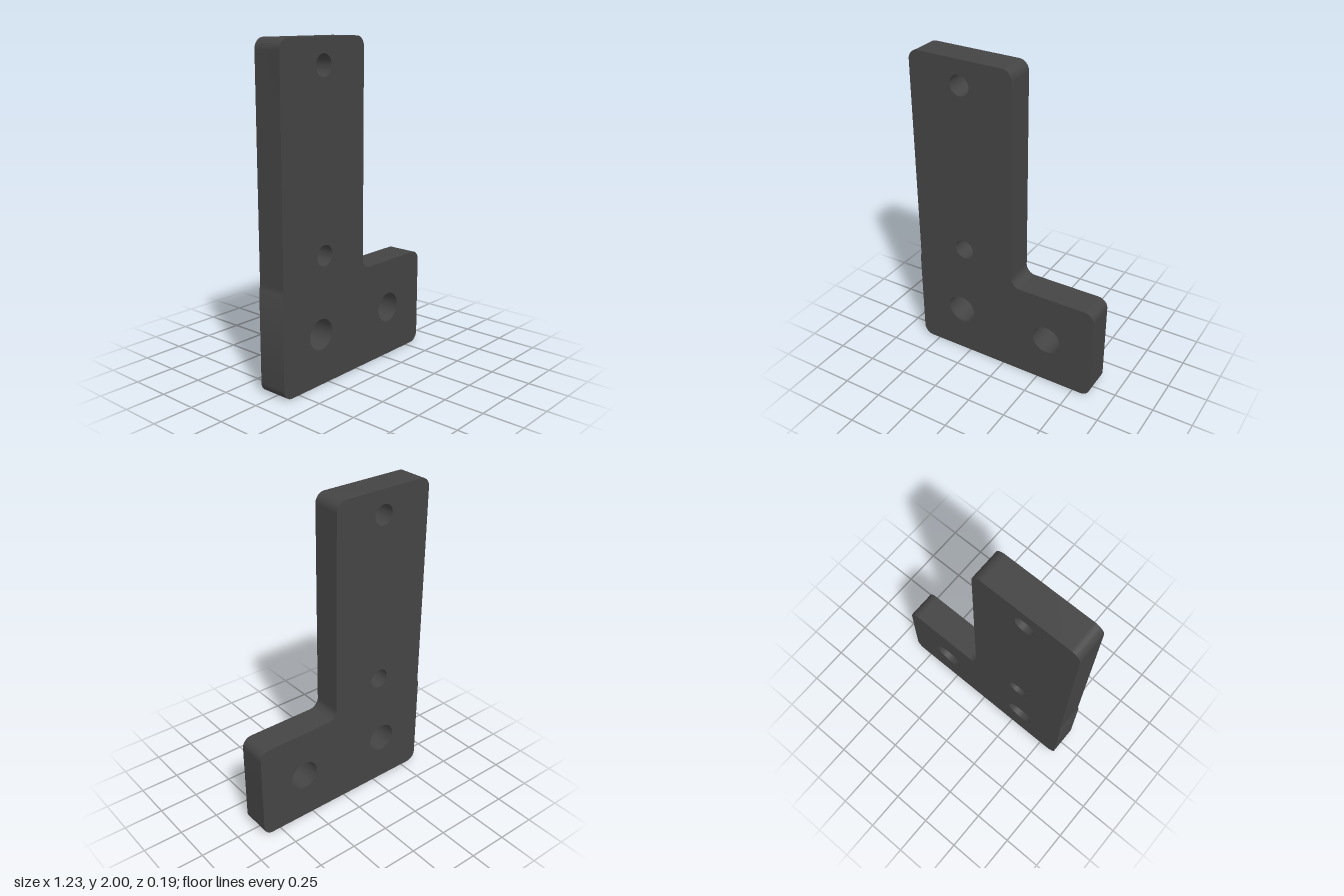
import * as THREE from 'three';
import { toCreasedNormals } from 'three/addons/utils/BufferGeometryUtils.js';

const DEPTH = 0.185;
const R = 0.062; // corner and fillet radius
const LEFT = -0.617, RIGHT = 0.617; // foot
const STEM_LEFT = -0.61, STEM_RIGHT = 0.06;
const FOOT_TOP = 0.62, TOP = 2;

// x, y, radius of each through hole
const HOLES = [
  [-0.276, 1.848, 0.063],
  [-0.276, 0.778, 0.063],
  [-0.311, 0.311, 0.093],
  [0.308, 0.311, 0.093],
];

function plateOutline() {
  const s = new THREE.Shape();
  const H = Math.PI / 2;
  // foot, anticlockwise from the bottom
  s.moveTo(LEFT + R, 0);
  s.absarc(RIGHT - R, R, R, -H, 0, false);
  s.absarc(RIGHT - R, FOOT_TOP - R, R, 0, H, false);
  // inner fillet between foot and stem
  s.absarc(STEM_RIGHT + R, FOOT_TOP + R, R, -H, -Math.PI, true);
  // stem top corners
  s.absarc(STEM_RIGHT - R, TOP - R, R, 0, H, false);
  s.absarc(STEM_LEFT + R, TOP - R, R, H, Math.PI, false);
  // slight step where the stem meets the foot
  s.lineTo(STEM_LEFT, 0.655);
  s.quadraticCurveTo(STEM_LEFT, 0.635, LEFT, FOOT_TOP);
  s.absarc(LEFT + R, R, R, Math.PI, 3 * H, false);

  for (const [x, y, r] of HOLES) {
    s.holes.push(new THREE.Path().absarc(x, y, r, 0, Math.PI * 2, true));
  }
  return s;
}

export function createModel() {
  const model = new THREE.Group();
  model.name = 'mountingBracket';

  const geometry = new THREE.ExtrudeGeometry(plateOutline(), {
    depth: DEPTH, bevelEnabled: false, curveSegments: 24,
  });
  geometry.translate(0, 0, -DEPTH / 2);

  const plate = new THREE.Mesh(
    toCreasedNormals(geometry, 0.5),
    new THREE.MeshStandardMaterial({ color: 0x444444 }),
  );
  plate.name = 'bracketPlate';
  model.add(plate);
  return model;
}
